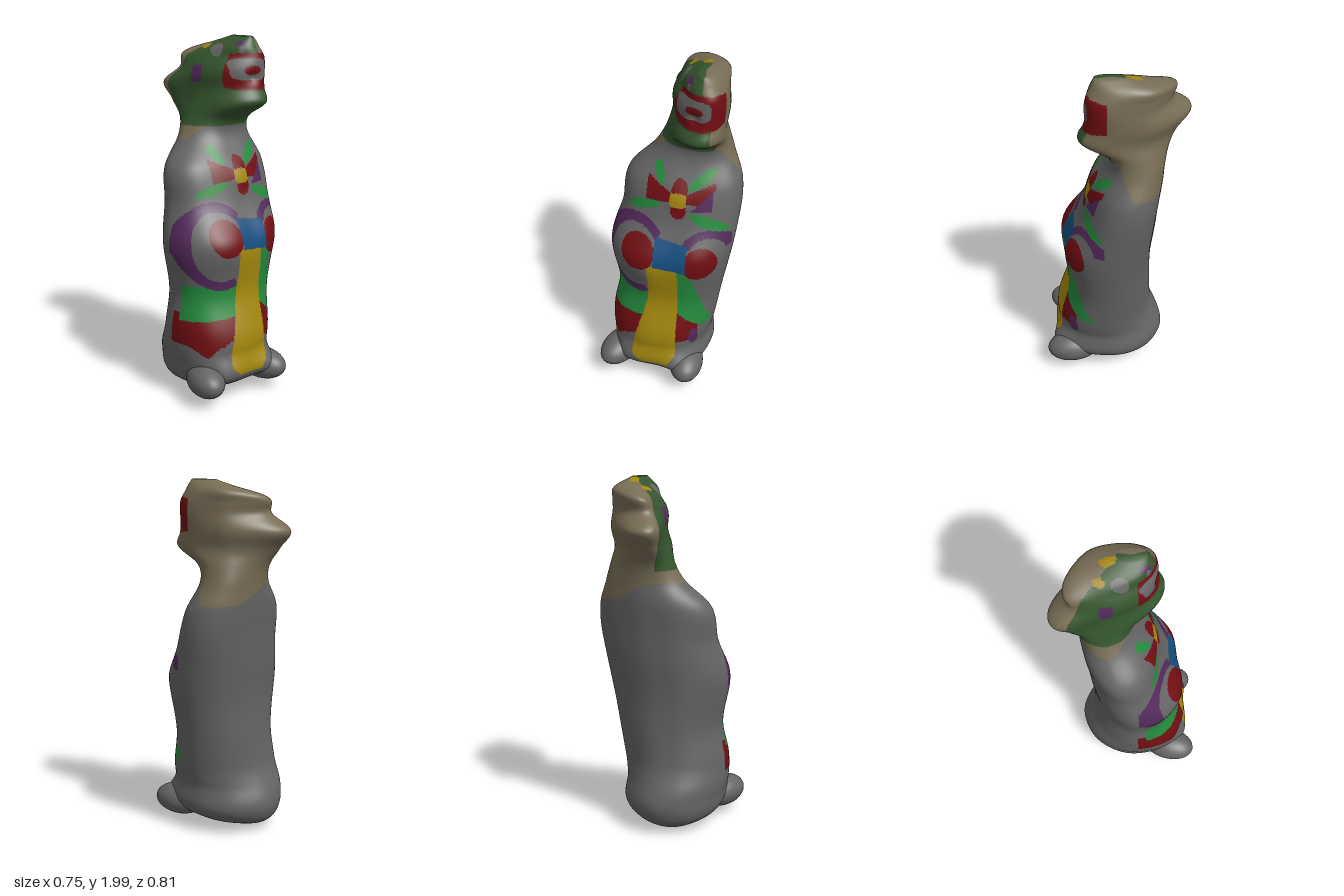
import * as THREE from 'three';

const { smoothstep } = THREE.MathUtils;
const mat = (name, color) => Object.assign(new THREE.MeshStandardMaterial({ color }), { name });

// Profiles against height: the two sides, the back and the front
const profile = (...points) => new THREE.CubicInterpolant(points.map(p => p[0]), points.map(p => p[1]), 1);
const sideRight = profile([0.01, -0.11], [0.08, -0.27], [0.22, -0.33], [0.4, -0.34], [0.6, -0.31], [0.9, -0.35],
  [1.1, -0.3], [1.3, -0.27], [1.45, -0.13], [1.64, -0.05], [1.8, -0.035], [1.93, 0.045], [2, 0.15]);
const sideLeft = profile([0.01, -0.05], [0.08, 0.18], [0.3, 0.25], [0.6, 0.3], [1, 0.365], [1.3, 0.37],
  [1.45, 0.31], [1.55, 0.285], [1.9, 0.287], [1.96, 0.265], [2, 0.21]);
const back = profile([0.01, -0.1], [0.04, -0.2], [0.13, -0.28], [0.4, -0.22], [0.7, -0.205], [1.1, -0.237],
  [1.34, -0.26], [1.45, -0.268], [1.56, -0.295], [1.64, -0.345], [1.73, -0.405], [1.82, -0.31], [1.92, -0.298], [2, -0.05]);
const front = profile([0.01, -0.04], [0.08, 0.25], [0.3, 0.34], [0.6, 0.28], [0.9, 0.28], [1.1, 0.19],
  [1.3, 0.125], [1.48, 0.035], [1.55, 0.06], [1.64, 0.195], [1.72, 0.17], [1.88, 0.155], [2, 0.11]);
const ROWS = 240, COLS = 220;

const bump = (x, y, cx, cy, r) => Math.exp(-((x - cx) ** 2 + (y - cy) ** 2) / (r * r));
const power = (v, e) => Math.sign(v) * Math.abs(v) ** e;

// Smooth loft through the profiles, with the head's back skewed to the model's right
function loft() {
  const pos = [], index = [];
  for (let i = 0; i <= ROWS; i++) {
    const y = 0.01 + 1.99 * Math.min(Math.max(i - 1, 0) / (ROWS - 2), 1);
    const [x0, x1, z0, z1] = [sideRight, sideLeft, back, front].map(p => p.evaluate(y)[0]);
    const cx = (x0 + x1) / 2, cz = (z0 + z1) / 2, c = (z1 - z0) / 2, w = (x1 - x0) / 2;
    const head = smoothstep(y, 1.42, 1.62);
    const skew = 0.2 * head * (1 - smoothstep(y, 1.88, 1.97));
    const a = Math.sqrt(Math.max(w * w - (skew * c) ** 2, w * w * 0.3));
    const open = i === 0 || i === ROWS ? 0 : 1;
    for (let j = 0; j < COLS; j++) {
      const t = j / COLS * Math.PI * 2, sin = Math.sin(t), cos = Math.cos(t);
      // Fuller corners at the front and on the upper left, leaner at the back right
      const full = Math.max(smoothstep(sin, -0.2, 0.4), smoothstep(y, 0.3, 1) * (cos + 1) / 2);
      const e = 1.05 - 0.15 * full, s = power(sin, e), dz = c * s * open;
      const x = cx + a * power(cos, e) * open + skew * dz - 0.06 * head * smoothstep(-cz - dz, 0.15, 0.4);
      // Chest mounds, bow, foot roots and mouth hollow
      const relief = 0.035 * bump(x, y, -0.18, 0.9, 0.15) + 0.03 * bump(x, y, 0.23, 0.92, 0.12)
        + 0.015 * bump(x, y, 0.07, 1.25, 0.07) - 0.02 * bump(x, y, 0.15, 1.78, 0.03)
        + 0.06 * bump(x, y, -0.26, 0.15, 0.11) + 0.07 * bump(x, y, 0.16, 0.15, 0.1);
      const wobble = 0.003 * Math.sin(19 * x + 7 * y) * Math.sin(9 * y - 13 * x + 3) * open;
      pos.push(x, y, cz + dz + Math.max(s, 0) * relief * open + wobble);
    }
  }
  for (let i = 0; i < ROWS; i++) for (let j = 0; j < COLS; j++) {
    const n = (j + 1) % COLS, p = i * COLS, q = p + COLS;
    index.push(p + j, q + j, q + n, p + j, q + n, p + n);
  }
  const g = new THREE.BufferGeometry();
  g.setAttribute('position', new THREE.Float32BufferAttribute(pos, 3));
  g.setIndex(index);
  g.computeVertexNormals();
  return g;
}

// Flat shapes that test whether a point is painted
const oval = (cx, cy, rx, ry, turn = 0) => (x, y) => {
  const c = Math.cos(turn), s = Math.sin(turn), u = x - cx, v = y - cy;
  return ((u * c + v * s) / rx) ** 2 + ((v * c - u * s) / ry) ** 2 < 1;
};
const block = (cx, cy, rx, ry) => (x, y) => ((x - cx) / rx) ** 4 + ((y - cy) / ry) ** 4 < 1;
// Open ring: a band of an ellipse between two angles
const ring = (cx, cy, rx, ry, band, from, to) => (x, y) => {
  const u = (x - cx) / rx, v = (y - cy) / ry, t = (Math.atan2(v, u) + 2 * Math.PI) % (2 * Math.PI);
  return Math.abs(Math.hypot(u, v) - 1) < band && t > from && t < to;
};
const any = (...f) => (x, y) => f.some(g => g(x, y));
const fromFront = (f, near = 0.03) => (x, y, z) => z > near && f(x, y);
const fromTop = (f, low, high = 2) => (x, y, z) => y > low && y < high && f(x, z);

export function createModel() {
  const grey = mat('clay grey', 0x656565), tan = mat('hood tan', 0x776c55), moss = mat('moss green', 0x35552e);
  const green = mat('leaf green', 0x248a3d), red = mat('deep red', 0x720e13), purple = mat('purple', 0x532a5b);
  const yellow = mat('yellow', 0xa4880e), blue = mat('blue', 0x144f80);

  // Paint in order of priority: the first match wins
  const parts = [];
  const paint = (name, material, test) => parts.push({ name, material, test, faces: [] });

  // Head markings
  paint('mouthCentre', red, fromFront(oval(0.15, 1.82, 0.05, 0.026)));
  paint('teeth', grey, fromFront(block(0.14, 1.825, 0.1, 0.058)));
  paint('lips', red, fromFront(block(0.16, 1.812, 0.155, 0.1), 0.05));
  paint('eyes', yellow, fromTop(any(oval(0.07, -0.14, 0.022, 0.032, 0.4), oval(0.16, -0.09, 0.025, 0.042)), 1.84));
  paint('cheekSpots', grey, fromTop(any(oval(0.055, -0.04, 0.026, 0.045), oval(0.1, 0.115, 0.02, 0.02)), 1.84));
  paint('templeMark', purple, fromTop(oval(-0.025, -0.115, 0.03, 0.035), 1.75, 1.84));
  paint('noseMark', purple, fromFront(oval(0.115, 1.96, 0.022, 0.016), 0.06));

  // Bow and leaves on the chest
  paint('bowKnot', yellow, fromFront(block(0.067, 1.245, 0.046, 0.04)));
  paint('bowPetals', red, fromFront(any(oval(0.07, 1.3, 0.045, 0.055), oval(0.07, 1.19, 0.045, 0.05))));
  paint('bowWings', red, fromFront((x, y) => {
    const d = Math.abs(x - 0.07);
    return d < 0.19 && y < 1.26 + 0.45 * d && y > 1.235 - 0.1 * d && (x < 0.07 || y > 1.05 + x);
  }));
  paint('bowShade', purple, fromFront((x, y) => x > 0.14 && x < 0.25 && y > 1.19 && y < 1.05 + x));
  paint('leaves', green, fromFront(any(oval(-0.065, 1.385, 0.08, 0.028, -1.1), oval(0.19, 1.36, 0.09, 0.028, 0.65),
    oval(-0.13, 1.185, 0.1, 0.027, 0.3), oval(0.24, 1.125, 0.115, 0.03, -0.42))));

  // Belt, sash, arm bands and skirt
  paint('beltClasp', blue, fromFront((x, y) =>
    x > -0.04 && x < 0.145 && y > 0.86 - 0.1 * x && y < 1.025 - 0.16 * x));
  paint('beltRounds', red, fromFront(any(oval(-0.135, 0.935, 0.1, 0.1), oval(0.215, 0.9, 0.09, 0.1))));
  paint('sash', yellow, fromFront((x, y) =>
    y > 0.165 && y < 0.87 && x < 0.1 - smoothstep(0.25 - y, 0, 0.09) * 0.05
    && x > -0.07 - 0.09 * smoothstep(0.8 - y, 0.1, 0.6) + smoothstep(0.22 - y, 0, 0.06) * 0.05));
  paint('rightArmBand', purple, fromFront(ring(-0.155, 0.885, 0.175, 0.215, 0.12, 0.75, 5.15)));
  paint('leftArmBand', purple, fromFront(ring(0.245, 0.97, 0.115, 0.095, 0.22, 0, 2.9), 0.07));
  paint('skirt', green, fromFront((x, y) => x < 0
    ? y > 0.475 + 0.1 * (x + 0.3) && y < 0.69 + 0.1 * (x + 0.1)
    : y < 0.86 && y > 0.62 - 0.85 * x && y > 0.42 && x < 0.16 + 0.25 * (0.86 - y), 0.16 * 0.5));
  paint('hemShade', purple, fromFront(oval(0.19, 0.36, 0.022, 0.06)));
  paint('hem', red, fromFront((x, y) => x < 0
    ? y < 0.51 && y > 0.34 + 0.6 * Math.max(0, x + 0.19) - 0.06 * bump(x, 0, -0.27, 0, 0.04)
    : y < 0.63 - 0.85 * x && y > 0.34 && x < 0.21));

  // Base coats
  paint('face', moss, (x, y, z) =>
    y > 1.51 && x < 0.24 - 0.05 * smoothstep(y, 1.86, 1.93) && x < 0.93 * (z + 0.28) - 0.04);
  paint('hood', tan, (x, y, z) =>
    y > 1.51 - (0.07 + 0.1 * smoothstep(x, 0, 0.25)) * (1 - smoothstep(z, -0.1, 0)));
  paint('body', grey, () => true);

  // Hand each small face of the loft to the part that covers it
  const base = loft(), p = base.attributes.position.array, idx = base.index.array;
  for (let f = 0; f < idx.length; f += 3) {
    const corners = idx.slice(f, f + 3);
    const mid = axis => (p[corners[0] * 3 + axis] + p[corners[1] * 3 + axis] + p[corners[2] * 3 + axis]) / 3;
    const x = mid(0), y = mid(1), z = mid(2);
    parts.find(q => q.test(x, y, z)).faces.push(...corners);
  }
  const model = new THREE.Group();
  model.name = 'figurine';
  for (const { name, material, faces } of parts) {
    if (!faces.length) continue;
    const g = new THREE.BufferGeometry();
    g.setAttribute('position', base.attributes.position);
    g.setAttribute('normal', base.attributes.normal);
    g.setIndex(faces);
    const m = new THREE.Mesh(g, material);
    m.name = name;
    model.add(m);
  }

  // Rounded feet poking out at the front corners
  const addFoot = (name, x, z, turn) => {
    const foot = new THREE.Mesh(new THREE.SphereGeometry(1, 32, 20), grey);
    foot.name = name;
    foot.scale.set(0.1, 0.09, 0.16);
    foot.rotation.y = turn;
    foot.position.set(x, 0.14, z);
    model.add(foot);
  };
  addFoot('rightFoot', -0.265, 0.235, -0.35);
  addFoot('leftFoot', 0.15, 0.25, 0.15);
  return model;
}
